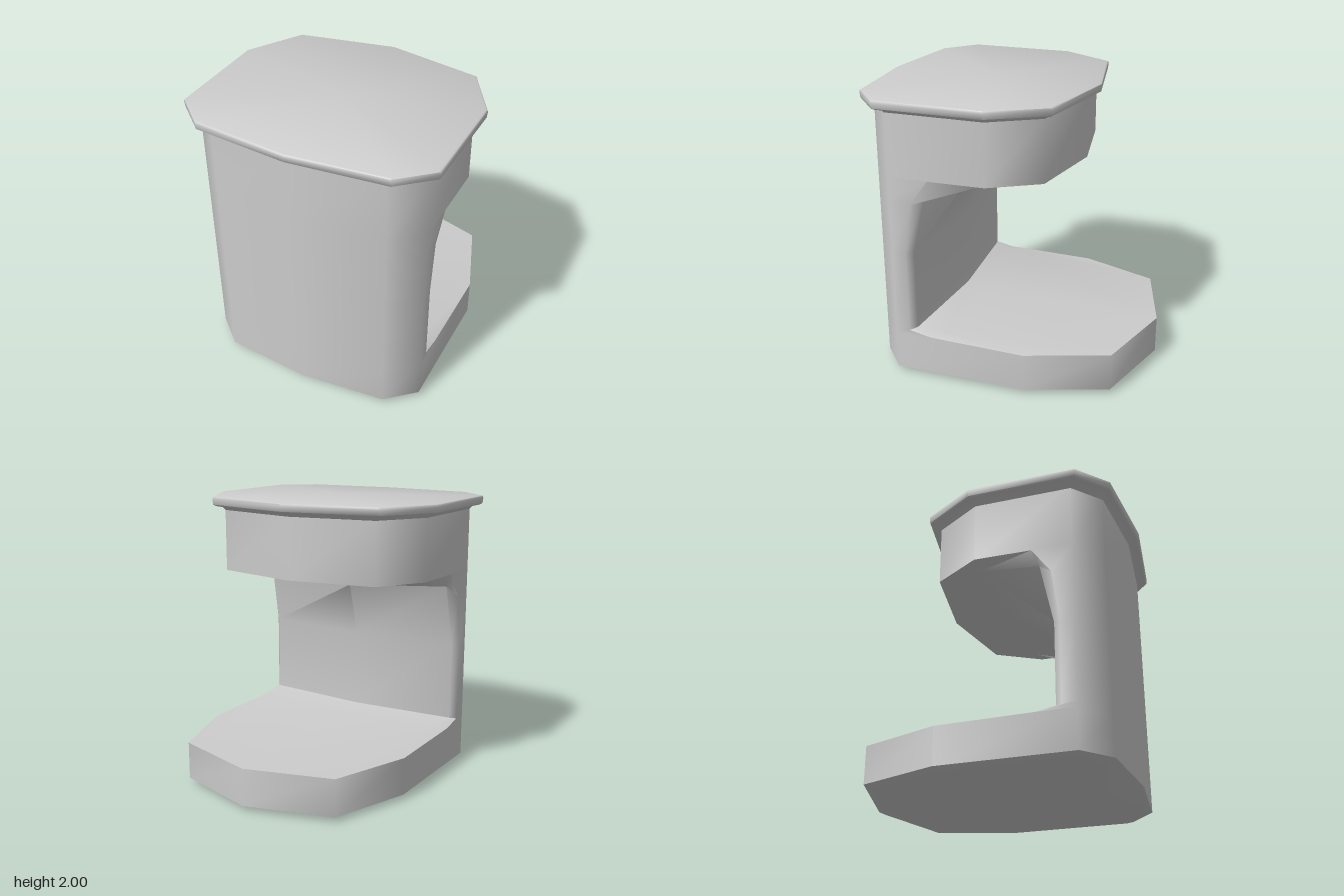
import * as THREE from 'three';
import { toCreasedNormals } from 'three/addons/utils/BufferGeometryUtils.js';

// Mirror a half ring (front centre -> +x side -> back centre) into a closed ring.
function mirrorRing(half) {
  const other = half.slice(1, -1).reverse().map(([x, y, z]) => [-x, y, z]);
  return [...half, ...other];
}

// Skin closed rings from bottom to top, with a fan cap at each end.
function loft(halfRings, bottomY, topY) {
  const rings = halfRings.map(mirrorRing);
  const n = rings[0].length;
  const positions = [];
  const index = [];
  rings.forEach((ring) => ring.forEach((p) => positions.push(...p)));
  for (let r = 0; r < rings.length - 1; r++) {
    for (let i = 0; i < n; i++) {
      const a = r * n + i;
      const b = r * n + ((i + 1) % n);
      index.push(a, b, b + n, a, b + n, a + n);
    }
  }
  const cap = (start, y, up) => {
    const ring = rings[start / n];
    const z = (ring[0][2] + ring[(n / 2)][2]) / 2;
    const c = positions.length / 3;
    positions.push(0, y, z);
    for (let i = 0; i < n; i++) {
      const a = start + i;
      const b = start + ((i + 1) % n);
      if (up) index.push(c, a, b);
      else index.push(c, b, a);
    }
  };
  cap(0, bottomY, false);
  cap((rings.length - 1) * n, topY, true);
  const geometry = new THREE.BufferGeometry();
  geometry.setAttribute('position', new THREE.Float32BufferAttribute(positions, 3));
  geometry.setIndex(index);
  return toCreasedNormals(geometry, 0.95);
}

// Outlines in plan, as half rings of [x, z].
const front = [[0, 0.91], [0.61, 0.855], [0.81, 0.68]];
const basePlan = [...front, [0.81, -0.25], [0.61, -0.81], [0, -0.99]];
const headPlan = [...front, [0.81, 0], [0.61, -0.33], [0, -0.44]];
const lidPlan = [[0, 0.99], [0.67, 0.925], [0.89, 0.73], [0.89, -0.025], [0.67, -0.4], [0, -0.53]];

const level = (plan, y) => plan.map(([x, z]) => [x, y, z]);
const blend = (from, to, t, y) =>
  from.map(([x, z], i) => [x + (to[i][0] - x) * t, y, z + (to[i][1] - z) * t]);
// Front stays on the outer wall at height y, the back points are free.
const column = (y, ...back) => [...level(front, y), ...back];

export function createModel() {
  const group = new THREE.Group();
  const material = new THREE.MeshStandardMaterial({ color: 0xcccccc });
  const add = (name, geometry) => {
    const mesh = new THREE.Mesh(geometry, material);
    mesh.name = name;
    group.add(mesh);
  };

  // Base plate, column and overhanging head as one C-shaped skin
  add('body', loft([
    level(basePlan.map(([x, z]) => [x * 0.93, z * 0.95]), 0.012),
    level(basePlan, 0.035),
    level(basePlan, 0.3),
    column(0.31, [0.81, 0.31, 0.42], [0.73, 0.322, 0.32], [0, 0.322, 0.3]),
    column(0.35, [0.81, 0.34, 0.58], [0.77, 0.352, 0.535], [0, 0.352, 0.48]),
    column(0.92, [0.81, 0.92, 0.58], [0.77, 0.92, 0.535], [0, 0.92, 0.48]),
    column(1.3, [0.81, 1.28, 0.53], [0.76, 1.36, 0.44], [0, 1.31, 0.37]),
    column(1.46, [0.81, 1.46, 0.4], [0.68, 1.45, 0], [0, 1.45, 0]),
    column(1.47, [0.81, 1.465, 0], [0.61, 1.465, -0.33], [0, 1.465, -0.44]),
    level(headPlan, 1.91),
  ], 0, 1.91));

  // Flared rim with a slightly domed top
  const rim = [[0, 1.895], [0.2, 1.915], [0.75, 1.925], [0.95, 1.935], [1, 1.97], [0.97, 1.985], [0.85, 1.99]];
  add('lid', loft(rim.map(([t, y]) => blend(headPlan, lidPlan, t, y)), 1.9, 2));

  return group;
}
